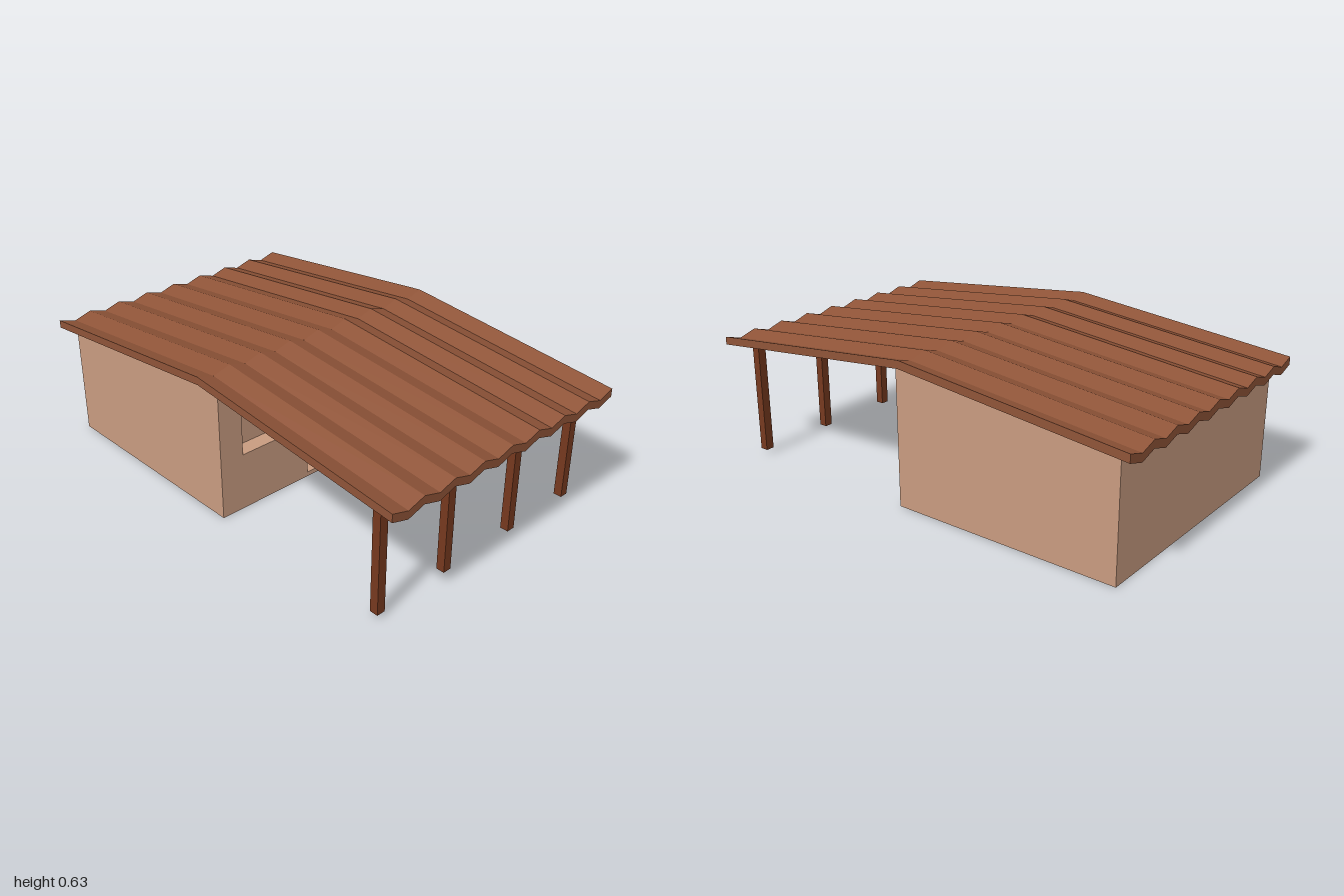
import * as THREE from 'three';

const mat = (color) => new THREE.MeshStandardMaterial({ color, flatShading: true });

function addMesh(parent, name, geometry, material, x = 0, y = 0, z = 0) {
  const mesh = new THREE.Mesh(geometry, material);
  mesh.name = name;
  mesh.position.set(x, y, z);
  parent.add(mesh);
  return mesh;
}

function rectPoints(x0, x1, y0, y1) {
  return [[x0, y0], [x1, y0], [x1, y1], [x0, y1]].map(([x, y]) => new THREE.Vector2(x, y));
}

// Zigzag sheet, extruded front to back and bent down on both sides of the ridge
function roofGeometry() {
  const halfWidth = 0.612, folds = 16, thickness = 0.034, top = 0.63, wave = 0.023, drop = 0.103;
  const upper = [], lower = [];
  for (let i = 0; i <= folds; i++) {
    const x = -halfWidth + (2 * halfWidth * i) / folds;
    const y = top - (i % 2) * wave;
    lower.push(new THREE.Vector2(x, y - thickness));
    upper.unshift(new THREE.Vector2(x, y));
  }
  const geometry = new THREE.ExtrudeGeometry(new THREE.Shape([...lower, ...upper]), {
    depth: 2, steps: 2, bevelEnabled: false,
  });
  geometry.translate(0, 0, -1);
  const p = geometry.attributes.position;
  for (let i = 0; i < p.count; i++) p.setY(i, p.getY(i) - drop * Math.abs(p.getZ(i)));
  geometry.computeVertexNormals();
  return geometry;
}

export function createModel() {
  const group = new THREE.Group();
  group.name = 'house';
  const wallMat = mat(0xc89b80);
  const roofMat = mat(0x8f5438);
  const postMat = mat(0x76391f);

  const halfWidth = 0.565, frontZ = 0.055, backZ = -0.94, recess = 0.07;
  const innerZ = frontZ - recess;

  // Main block: side profile drawn as (-z, y), extruded across the width
  const profile = new THREE.Shape([
    new THREE.Vector2(-innerZ, 0), new THREE.Vector2(-backZ, 0),
    new THREE.Vector2(-backZ, 0.488), new THREE.Vector2(-innerZ, 0.583),
  ]);
  const block = new THREE.ExtrudeGeometry(profile, { depth: 2 * halfWidth, bevelEnabled: false });
  block.translate(0, 0, -halfWidth).rotateY(Math.PI / 2);
  addMesh(group, 'walls', block, wallMat);

  // Front wall with recessed door and windows
  const front = new THREE.Shape(rectPoints(-halfWidth, halfWidth, 0, 0.578));
  const openings = [
    [-0.455, -0.226, 0.25, 0.478],
    [-0.112, 0.112, 0.02, 0.48],
    [0.226, 0.452, 0.25, 0.478],
  ];
  for (const o of openings) front.holes.push(new THREE.Path(rectPoints(...o).reverse()));
  addMesh(group, 'frontWall',
    new THREE.ExtrudeGeometry(front, { depth: recess, bevelEnabled: false }), wallMat, 0, 0, innerZ);

  addMesh(group, 'corrugatedRoof', roofGeometry(), roofMat);

  // Porch posts
  const bottom = 0.02, height = 0.475;
  for (const x of [-0.537, -0.188, 0.187, 0.536]) {
    addMesh(group, 'porchPost', new THREE.BoxGeometry(0.037, height, 0.036), postMat,
      x, bottom + height / 2, 0.88);
  }
  return group;
}
